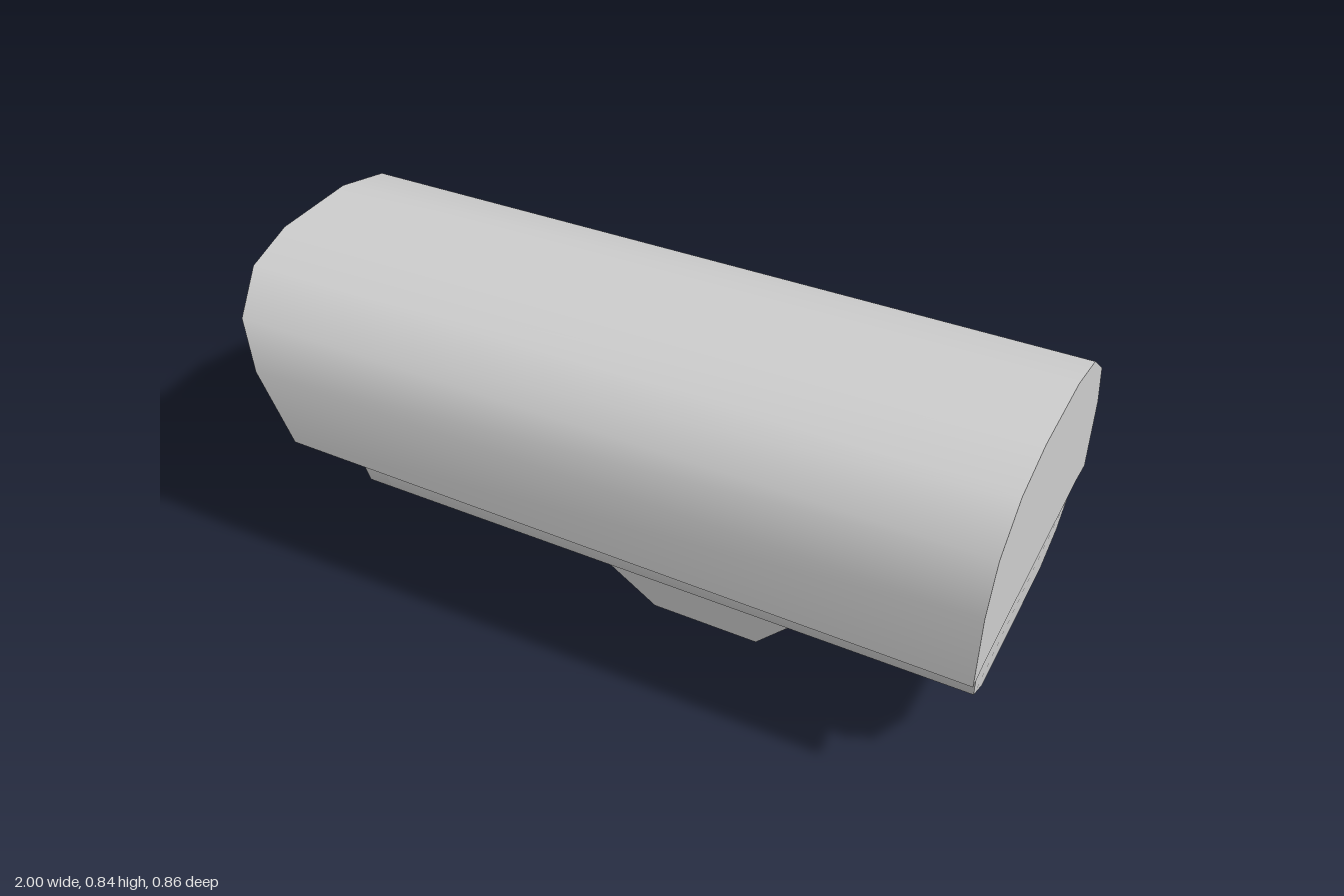
import * as THREE from 'three';
import { toCreasedNormals } from 'three/addons/utils/BufferGeometryUtils.js';

const material = new THREE.MeshStandardMaterial({ color: 0xcccccc, side: THREE.DoubleSide });

const points = (list) => list.map(([z, y]) => new THREE.Vector2(z, y));
// Complete a half section (z > 0, ordered bottom to top) with its mirror image
const mirrored = (half) => [...half, ...half.map(([z, y]) => [-z, y]).reverse()];

// Section in z and y, run along x between two ends that may depend on y
function prism(section, startX, endX, hole) {
  const shape = new THREE.Shape(points(section));
  if (hole) shape.holes.push(new THREE.Path(points(hole)));
  const geometry = new THREE.ExtrudeGeometry(shape, { depth: 1, bevelEnabled: false });
  geometry.rotateY(Math.PI / 2);
  const p = geometry.attributes.position;
  for (let i = 0; i < p.count; i++) {
    const y = p.getY(i);
    p.setX(i, THREE.MathUtils.lerp(startX(y), endX(y), p.getX(i)));
  }
  return geometry;
}

// The hood gets slightly lower towards the lens end
function taper(geometry) {
  const p = geometry.attributes.position;
  for (let i = 0; i < p.count; i++) {
    p.setY(i, 0.62 + (p.getY(i) - 0.62) * (0.967 + 0.033 * p.getX(i)));
  }
  return geometry;
}

export function createModel() {
  const group = new THREE.Group();
  const add = (name, geometry, crease = 0.8) => {
    const mesh = new THREE.Mesh(toCreasedNormals(geometry, crease), material);
    mesh.name = name;
    group.add(mesh);
    return mesh;
  };

  // Sun hood: thin shell with a slanted front edge
  const outer = mirrored([[0.43, 0.395], [0.43, 0.595], [0.387, 0.72], [0.275, 0.807], [0.125, 0.84]]);
  const inner = mirrored([[0.403, 0.398], [0.403, 0.59], [0.365, 0.702], [0.264, 0.782], [0.122, 0.814]]);
  const back = () => 1;
  add('hood', taper(prism([...outer, ...inner.slice().reverse()], (y) => -1 + (0.84 - y) * 0.45, back)));

  // Solid filling between hood and housing, ending short of the front
  const filling = [[-0.35, 0.405], [0.35, 0.405], ...inner];
  add('hoodFilling', taper(prism(filling, () => -0.54, back)));

  // Housing with leaning ends and a raised rim round the front
  const housing = mirrored([[0.225, 0.203], [0.32, 0.26], [0.35, 0.34], [0.35, 0.62], [0.32, 0.7], [0.225, 0.757]]);
  const opening = housing.map(([z, y]) => [z * 0.87, 0.48 + (y - 0.48) * 0.84]);
  const lean = (x) => (y) => Math.min(x + 0.075 * (y - 0.2), 0.992);
  add('housing', prism(housing, lean(-0.6), lean(0.977)));
  add('frontRim', prism(housing, lean(-0.667), lean(-0.6), opening));

  // Lens barrel
  const lens = new THREE.CylinderGeometry(0.17, 0.17, 0.17, 12);
  lens.rotateZ(Math.PI / 2);
  add('lens', lens).position.set(-0.645, 0.48, 0);

  // Mounting foot: tapered block
  const foot = new THREE.BoxGeometry(1, 1, 1);
  const p = foot.attributes.position;
  for (let i = 0; i < p.count; i++) {
    const top = p.getY(i) > 0;
    p.setXYZ(i, 0.234 + p.getX(i) * (top ? 0.595 : 0.29), top ? 0.204 : 0, p.getZ(i) * (top ? 0.45 : 0.306));
  }
  add('mountingFoot', foot, 0.3);

  return group;
}
